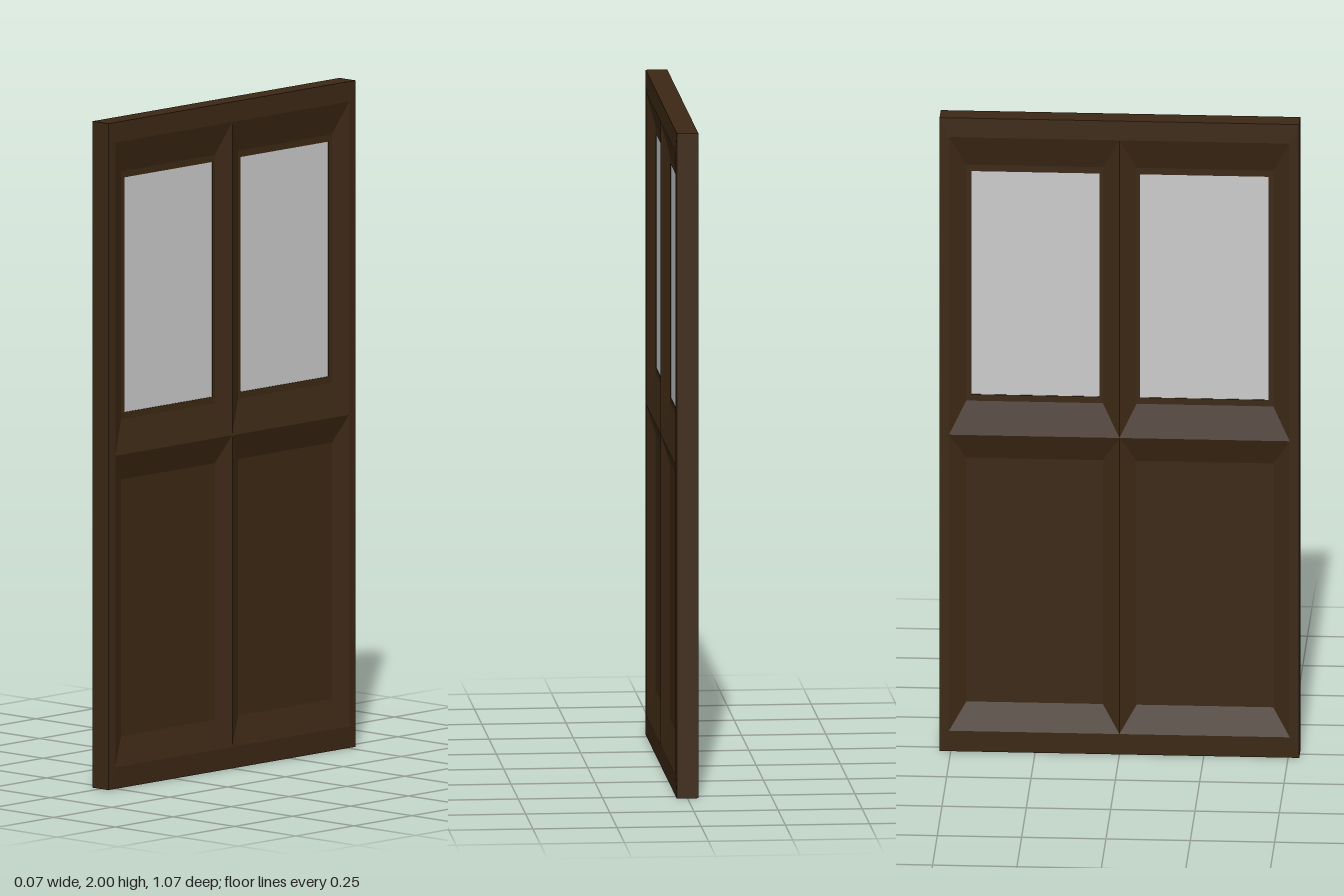
import * as THREE from 'three';

const wood = new THREE.MeshStandardMaterial({ color: 0x3c2814, flatShading: true });
const glass = new THREE.MeshStandardMaterial({ color: 0xcccccc });

const EDGE = 0.032, RIDGE = 0.034, FLOOR = 0.01, PANE = 0.008;

// Rectangle in the door plane at depth x, anticlockwise seen from +x
function rect(z0, z1, y0, y1, x) {
  return [[x, y0, z1], [x, y0, z0], [x, y1, z0], [x, y1, z1]];
}

// Join successive rectangles with quads; optionally close the last one
function loft(rects, capped, name, material = wood) {
  const pos = [];
  const quad = (a, b, c, d) => [a, b, c, a, c, d].forEach((p) => pos.push(...p));
  for (let k = 0; k + 1 < rects.length; k++) {
    const a = rects[k], b = rects[k + 1];
    for (let i = 0; i < 4; i++) {
      const j = (i + 1) % 4;
      quad(a[i], a[j], b[j], b[i]);
    }
  }
  if (capped) quad(...rects[rects.length - 1]);
  const geometry = new THREE.BufferGeometry();
  geometry.setAttribute('position', new THREE.Float32BufferAttribute(pos, 3));
  geometry.computeVertexNormals();
  const mesh = new THREE.Mesh(geometry, material);
  mesh.name = name;
  return mesh;
}

function createFace() {
  const face = new THREE.Group();

  // Border, rising slightly to the ridge around the panels
  face.add(loft([
    rect(-0.533, 0.533, 0, 2, EDGE),
    rect(-0.505, 0.505, 0.065, 1.94, RIDGE),
  ], false, 'border'));

  // Left and right columns, each a solid panel below a window
  for (const [side, s] of [['left', 1], ['right', -1]]) {
    const area = (za, zb, y0, y1, x) =>
      rect(Math.min(s * za, s * zb), Math.max(s * za, s * zb), y0, y1, x);

    face.add(loft([
      area(0, 0.505, 0.065, 1, RIDGE),
      area(0.05, 0.455, 0.15, 0.92, FLOOR),
    ], true, `${side}LowerPanel`));

    face.add(loft([
      area(0, 0.505, 1, 1.94, RIDGE),
      area(0.05, 0.455, 1.1, 1.845, FLOOR),
      area(0.06, 0.44, 1.12, 1.825, FLOOR),
      area(0.06, 0.44, 1.12, 1.825, PANE),
    ], false, `${side}WindowFrame`));

    face.add(loft([area(0.06, 0.44, 1.12, 1.825, PANE)], true, `${side}WindowPane`, glass));
  }
  return face;
}

export function createModel() {
  const door = new THREE.Group();
  door.name = 'door';

  // Outer edges all the way round
  door.add(loft([
    rect(-0.533, 0.533, 0, 2, -EDGE),
    rect(-0.533, 0.533, 0, 2, EDGE),
  ], false, 'doorEdge'));

  // The same panelled face on both sides
  const outer = createFace();
  outer.name = 'outerFace';
  const inner = createFace();
  inner.name = 'innerFace';
  inner.rotation.y = Math.PI;
  door.add(outer, inner);
  return door;
}
